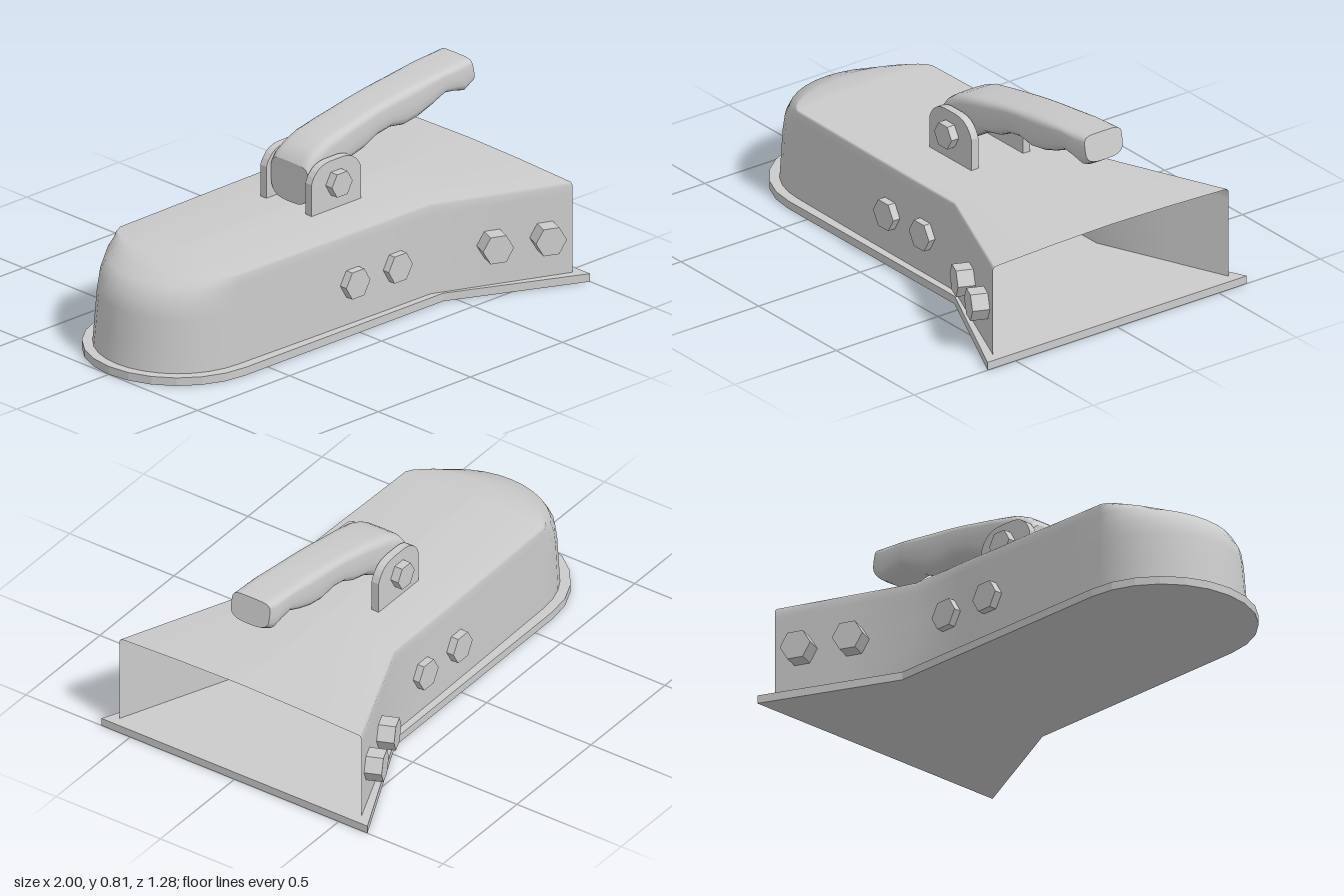
import * as THREE from 'three';

const smooth = new THREE.MeshStandardMaterial({ color: 0xcccccc, side: THREE.DoubleSide });
const flat = new THREE.MeshStandardMaterial({ color: 0xcccccc, flatShading: true });
const MID = -0.008; // z of the handle's centre line

// Skin a list of rows of points; closed joins each row's end to its start.
function skin(rows, closed) {
  const n = rows[0].length, index = [];
  for (let i = 0; i < rows.length - 1; i++) {
    for (let j = 0; j < (closed ? n : n - 1); j++) {
      const k = (j + 1) % n;
      const a = i * n + j, b = i * n + k, c = a + n, d = b + n;
      index.push(a, c, b, b, c, d);
    }
  }
  const g = new THREE.BufferGeometry();
  g.setAttribute('position', new THREE.Float32BufferAttribute(rows.flat(2), 3));
  g.setIndex(index);
  g.computeVertexNormals();
  return g;
}

function shellGeometry() {
  const side = [[0.96, 0.58], [0.685, 0.465], [0.41, 0.35], [0.15, 0.348], [-0.2, 0.343], [-0.45, 0.338]];
  // nose length, height, share of the half width, corner tightening
  const levels = [
    [0.34, 0.03, 1, 0], [0.325, 0.14, 1, 0.01], [0.31, 0.25, 1, 0.02], [0.295, 0.31, 1, 0.04],
    [0.25, 0.37, 1, 0.08], [0.16, 0.405, 1, 0.1], [0.12, 0.415, 0.985, 0.1],
    [0.06, 0.425, 0.5, 0], [0, 0.43, 0, 0],
  ];
  const rows = levels.map(([nose, y, w, k]) => {
    const row = side.map(([x, z]) => [x, Math.min(y, 0.43), z * w]);
    for (let i = 0; i <= 16; i++) {
      const a = Math.PI / 2 - (i / 16) * Math.PI, c = Math.cos(a);
      row.push([-0.62 - nose * c, y, 0.335 * Math.sin(a) * (1 - k * c) * w]);
    }
    for (const [x, z] of [...side].reverse()) row.push([x, y, -z * w]);
    return row;
  });
  return skin(rows, false);
}

function plateGeometry() {
  const pts = [[1, -0.638], [1, 0.638], [0.45, 0.38], [-0.62, 0.378]].map(p => new THREE.Vector2(...p));
  for (let i = 1; i < 12; i++) {
    const a = Math.PI / 2 - (i / 12) * Math.PI;
    pts.push(new THREE.Vector2(-0.62 - 0.38 * Math.cos(a), 0.378 * Math.sin(a)));
  }
  pts.push(new THREE.Vector2(-0.62, -0.378), new THREE.Vector2(0.45, -0.38));
  return new THREE.ExtrudeGeometry(new THREE.Shape(pts), { depth: 0.034, bevelEnabled: false })
    .rotateX(Math.PI / 2).translate(0, 0.034, 0);
}

// Handle: rounded sections along the grip, with finger waves beneath.
function handleGeometry() {
  // x at top, y at top, x at bottom, y at bottom, half width
  const stations = [
    [-0.01, 0.61, -0.01, 0.44, 0.105], [0.01, 0.64, 0.01, 0.44, 0.105], [0.045, 0.665, 0.05, 0.45, 0.105],
    [0.107, 0.693, 0.13, 0.5, 0.104], [0.22, 0.717, 0.24, 0.565, 0.1], [0.3, 0.733, 0.32, 0.583, 0.097],
    [0.38, 0.748, 0.39, 0.618, 0.095], [0.46, 0.761, 0.465, 0.631, 0.095], [0.53, 0.772, 0.54, 0.617, 0.095],
    [0.6, 0.78, 0.61, 0.628, 0.095], [0.67, 0.788, 0.685, 0.655, 0.095], [0.74, 0.795, 0.76, 0.69, 0.095],
    [0.8, 0.8, 0.82, 0.68, 0.095], [0.84, 0.804, 0.87, 0.667, 0.095], [0.893, 0.808, 0.915, 0.695, 0.092],
  ];
  const ring = ([xt, yt, xb, yb, w], s = 1) => {
    const pts = [];
    for (let j = 0; j < 24; j++) {
      const t = (j / 24) * Math.PI * 2, c = Math.cos(t), sn = Math.sin(t);
      const e = sn > 0 ? 0.4 : 0.65;
      const v = s * Math.sign(sn) * Math.abs(sn) ** e, f = 0.5 + v / 2;
      pts.push([xb + (xt - xb) * f, yb + (yt - yb) * f, MID + s * w * Math.sign(c) * Math.abs(c) ** e]);
    }
    return pts;
  };
  const first = stations[0], last = stations[stations.length - 1];
  return skin([ring(first, 0), ring(first), ...stations.map(s => ring(s)), ring(last), ring(last, 0)], true);
}

function bracketGeometry() {
  const s = new THREE.Shape();
  s.moveTo(-0.03, 0.4);
  s.lineTo(0.24, 0.4);
  s.lineTo(0.24, 0.56);
  s.quadraticCurveTo(0.215, 0.63, 0.14, 0.632);
  s.lineTo(0.07, 0.632);
  s.quadraticCurveTo(-0.005, 0.63, -0.03, 0.56);
  return new THREE.ExtrudeGeometry(s, { depth: 0.034, bevelEnabled: false, curveSegments: 5 }).translate(0, 0, -0.017);
}

export function createModel() {
  const model = new THREE.Group();
  const add = (name, geometry, material, x = 0, y = 0, z = 0, turn = 0) => {
    const mesh = new THREE.Mesh(geometry, material);
    mesh.name = name;
    mesh.position.set(x, y, z);
    mesh.rotation.y = turn;
    model.add(mesh);
  };
  // Six-sided bolt head with its axis along z
  const bolt = (r, h) => new THREE.CylinderGeometry(r, r, h, 6).rotateY(Math.PI / 6).rotateX(Math.PI / 2);

  add('basePlate', plateGeometry(), flat);
  add('shell', shellGeometry(), smooth);
  add('handle', handleGeometry(), smooth);
  add('handleFoot', new THREE.BoxGeometry(0.25, 0.17, 0.262), flat, 0.105, 0.34, MID);

  const bracket = bracketGeometry(), pivot = bolt(0.056, 0.04);
  const sideBolt = bolt(0.065, 0.045), flareBolt = bolt(0.065, 0.07);
  const flare = Math.atan2(0.23, 0.55);
  for (const s of [1, -1]) {
    add('bracket', bracket, flat, 0, 0, MID + s * 0.127);
    add('pivotBolt', pivot, flat, 0.103, 0.535, MID + s * 0.16);
    for (const x of [-0.01, 0.22]) add('sideBolt', sideBolt, flat, x, 0.208, s * 0.357);
    for (const x of [0.635, 0.84]) {
      add('flareBolt', flareBolt, flat, x, 0.208, s * (0.35 + (x - 0.41) * 0.418 + 0.038), -s * flare);
    }
  }
  return model;
}
